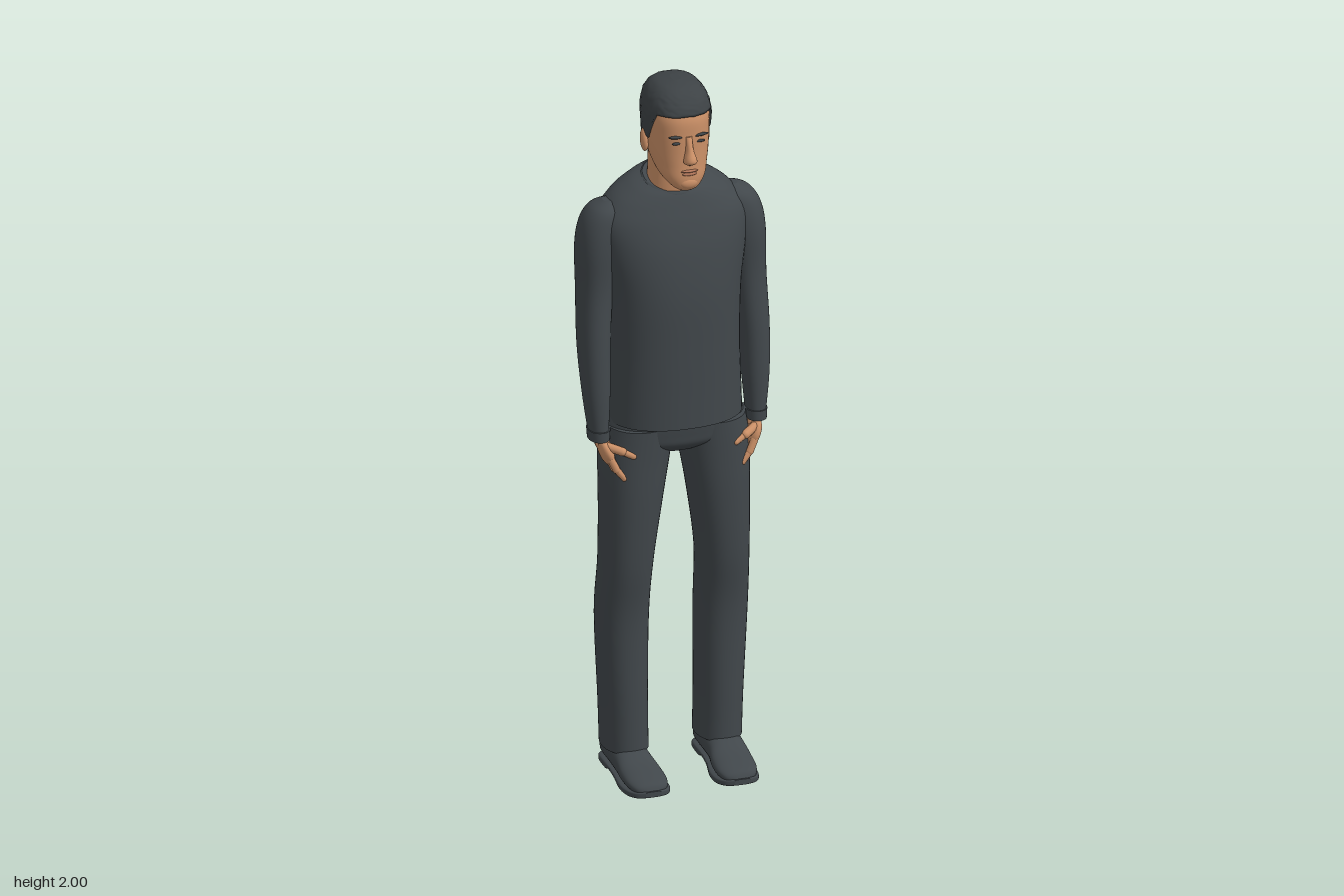
import * as THREE from 'three';

const mat = (name, color) => {
  const m = new THREE.MeshStandardMaterial({ color });
  m.name = name;
  return m;
};

// Catmull-Rom through table rows, t from 0 to rows.length - 1
function sample(rows, t) {
  const last = rows.length - 1;
  const i = Math.min(Math.floor(t), last - 1), f = t - i;
  const row = k => rows[Math.max(0, Math.min(last, k))];
  return rows[0].map((_, c) => {
    const [a, b, d, e] = [row(i - 1)[c], row(i)[c], row(i + 1)[c], row(i + 2)[c]];
    return b + 0.5 * f * (d - a + f * (2 * a - 5 * b + 4 * d - e + f * (3 * (b - d) + e - a)));
  });
}

// point on a superellipse ring; row = [y, centre x, half width, front z, back z, tilt]
function ringPoint([y, cx, hw, zf, zb, tilt = 0], angle, power) {
  const bend = v => Math.sign(v) * Math.pow(Math.abs(v), 2 / power);
  const z = (zf + zb) / 2 + bend(Math.cos(angle)) * (zf - zb) / 2;
  return [cx + bend(Math.sin(angle)) * hw, y - tilt * z, z];
}

// joins rings of points into a smooth skin, with flat caps
function skin(rings) {
  const pos = [], index = [], n = rings[0].length;
  rings.forEach(r => r.forEach(p => pos.push(...p)));
  for (let i = 0; i < rings.length - 1; i++) {
    for (let j = 0; j < n; j++) {
      const a = i * n + j, b = i * n + (j + 1) % n;
      index.push(a, b, a + n, b, b + n, a + n);
    }
  }
  [rings[0], rings[rings.length - 1]].forEach((ring, top) => {
    const base = pos.length / 3;
    ring.forEach(p => pos.push(...p));
    pos.push(...[0, 1, 2].map(c => ring.reduce((s, p) => s + p[c], 0) / n));
    for (let j = 0; j < n; j++) {
      const a = base + j, b = base + (j + 1) % n;
      index.push(...(top ? [a, b, base + n] : [b, a, base + n]));
    }
  });
  const g = new THREE.BufferGeometry();
  g.setAttribute('position', new THREE.Float32BufferAttribute(pos, 3));
  g.setIndex(index);
  g.computeVertexNormals();
  return g;
}

function loft(rows, power = 2.2, sides = 40, sub = 6) {
  const rings = [];
  for (let k = 0; k <= (rows.length - 1) * sub; k++) {
    const row = sample(rows, k / sub);
    rings.push(Array.from({ length: sides }, (_, j) => ringPoint(row, j / sides * Math.PI * 2, power)));
  }
  return skin(rings);
}

// loft running along z; row = [z, centre x, half width, bottom y, top y]
const loftZ = (rows, power) =>
  loft(rows.map(([z, cx, hw, lo, hi]) => [z, cx, hw, -lo, -hi]), power).rotateX(Math.PI / 2);

const headRows = [
  [1.712, 0, 0.02, 0.1, 0.06], [1.724, 0, 0.038, 0.114, 0.03], [1.75, 0, 0.06, 0.117, -0.02],
  [1.785, 0, 0.072, 0.114, -0.072], [1.82, 0, 0.079, 0.112, -0.094], [1.87, 0, 0.083, 0.111, -0.104],
  [1.915, 0, 0.083, 0.108, -0.104], [1.95, 0, 0.073, 0.09, -0.094], [1.973, 0, 0.05, 0.06, -0.065],
  [1.982, 0, 0.012, 0.02, -0.02],
];

// cropped hair: a thicker shell over the skull with a hairline that varies round the head
function hairGeometry() {
  let seed = 7;
  const rnd = () => (seed = (seed * 16807) % 2147483647) / 2147483647;
  const sides = 56, steps = 22, rings = [];
  // first skull row parameter for each angle: high at the brow, low at the nape
  const start = a => {
    const d = Math.abs(a > Math.PI ? a - Math.PI * 2 : a);
    if (d < 1.0) return 6.1;
    if (d < 1.45) return 6.1 - (d - 1.0) / 0.45 * 1.6;
    if (d < 1.8) return 4.5;
    return 4.5 - Math.min(1, (d - 1.8) / 0.5) * 1.75;
  };
  for (let k = -1; k <= steps; k++) {
    rings.push(Array.from({ length: sides }, (_, j) => {
      const a = j / sides * Math.PI * 2, s = start(a);
      const [x, y, z] = ringPoint(sample(headRows, s + (9 - s) * Math.max(0, k) / steps), a, 2.4);
      const grow = k < 0 ? 0.93 : 1.055 + (k < steps ? (rnd() - 0.5) * 0.03 : 0);
      return [x * grow, 1.85 + (y - 1.85) * (y > 1.85 ? 1.125 : 1), z * (z > 0 && k >= 0 ? grow - 0.02 : grow)];
    }));
  }
  return skin(rings);
}

export function createModel() {
  const model = new THREE.Group();
  model.name = 'standingMan';
  const cloth = mat('charcoal cloth', 0x41474b);
  const dark = mat('dark hair', 0x3d4245);
  const flesh = mat('skin', 0xcb9067);
  const lips = mat('lips', 0xb1765a);

  const add = (name, geometry, material, parent = model) => {
    const m = new THREE.Mesh(geometry, material);
    m.name = name;
    parent.add(m);
    return m;
  };
  const blob = (name, p, r, material, parent) => {
    const m = add(name, new THREE.SphereGeometry(1, 20, 14), material, parent);
    m.position.set(...p);
    m.scale.set(...r);
    return m;
  };
  const capsule = (name, a, b, r, material, parent) => {
    const from = new THREE.Vector3(...a), to = new THREE.Vector3(...b), dir = to.clone().sub(from);
    const m = add(name, new THREE.CapsuleGeometry(r, dir.length(), 5, 10), material, parent);
    m.position.copy(from).add(to).multiplyScalar(0.5);
    m.quaternion.setFromUnitVectors(new THREE.Vector3(0, 1, 0), dir.normalize());
  };

  // sweater body with sloping shoulders and a tilted neckline
  add('sweaterBody', loft([
    [1.03, 0, 0.184, 0.128, -0.178, -0.03], [1.12, 0, 0.18, 0.127, -0.168, 0], [1.25, 0, 0.176, 0.126, -0.162, 0],
    [1.4, 0, 0.182, 0.122, -0.171, 0], [1.52, 0, 0.2, 0.104, -0.17, 0], [1.6, 0, 0.203, 0.08, -0.158, 0.05],
    [1.65, 0, 0.168, 0.06, -0.14, 0.15], [1.682, 0, 0.118, 0.045, -0.118, 0.25], [1.695, 0, 0.082, 0.036, -0.103, 0.33],
  ], 2.3, 56), cloth);
  add('collar', loft([
    [1.672, 0, 0.09, 0.044, -0.108, 0.33], [1.69, 0, 0.086, 0.042, -0.106, 0.33], [1.698, 0, 0.078, 0.034, -0.098, 0.33],
  ], 2.1), cloth);

  // trousers seat
  add('trouserSeat', loft([
    [0.935, 0, 0.1, 0.04, -0.08], [0.965, 0, 0.17, 0.082, -0.115], [1.0, 0, 0.194, 0.092, -0.132], [1.06, 0, 0.178, 0.1, -0.145],
  ]), cloth);

  // head, neck and face
  const head = new THREE.Group();
  head.name = 'head';
  model.add(head);
  add('neck', loft([[1.63, 0, 0.075, 0.03, -0.095], [1.7, 0, 0.067, 0.038, -0.088], [1.79, 0, 0.064, 0.04, -0.088]]), flesh, head);
  add('face', loft(headRows, 2.3), flesh, head);
  add('hair', hairGeometry(), dark, head);
  add('nose', loft([
    [1.794, 0, 0.01, 0.125, 0.1], [1.803, 0, 0.018, 0.141, 0.1], [1.815, 0, 0.016, 0.143, 0.1],
    [1.838, 0, 0.01, 0.13, 0.1], [1.872, 0, 0.009, 0.115, 0.1],
  ], 2, 20), flesh, head);
  blob('upperLip', [0, 1.774, 0.115], [0.024, 0.004, 0.006], lips, head);
  blob('lowerLip', [0, 1.766, 0.115], [0.02, 0.005, 0.006], lips, head);
  blob('chin', [0, 1.738, 0.106], [0.026, 0.018, 0.014], flesh, head);

  for (const s of [1, -1]) {
    const side = s > 0 ? 'left' : 'right';
    blob(side + 'Ear', [s * 0.085, 1.828, -0.005], [0.011, 0.032, 0.018], flesh, head).rotation.x = -0.15;
    blob(side + 'Eye', [s * 0.033, 1.854, 0.106], [0.013, 0.004, 0.004], dark, head);
    blob(side + 'Brow', [s * 0.035, 1.872, 0.106], [0.021, 0.004, 0.006], dark, head).rotation.z = s * 0.08;

    // sleeve and cuff
    add(side + 'Sleeve', loft([
      [1.0, 0.219, 0.025, 0.048, -0.024], [1.12, 0.222, 0.036, 0.048, -0.046], [1.25, 0.222, 0.042, 0.04, -0.078],
      [1.4, 0.214, 0.047, 0.026, -0.102], [1.52, 0.205, 0.056, 0.028, -0.115], [1.59, 0.192, 0.058, 0.022, -0.112],
      [1.632, 0.178, 0.047, 0.008, -0.098], [1.652, 0.168, 0.02, -0.025, -0.065],
    ].map(([y, x, ...r]) => [y, s * x, ...r])), cloth);
    add(side + 'Cuff', loft([[0.992, s * 0.219, 0.028, 0.052, -0.028], [1.02, s * 0.219, 0.03, 0.052, -0.03]]), cloth);

    // hand with four fingers and a thumb
    const hand = new THREE.Group();
    hand.name = side + 'Hand';
    model.add(hand);
    capsule('wrist', [s * 0.219, 1.01, 0.014], [s * 0.212, 0.98, 0.022], 0.02, flesh, hand);
    blob('palm', [s * 0.205, 0.958, 0.031], [0.018, 0.042, 0.04], flesh, hand).rotation.z = -0.35 * s;
    for (let f = 0; f < 4; f++) {
      const z = 0.062 - f * 0.021, drop = [0.006, 0, 0.002, 0.014][f];
      const knuckle = [s * 0.186, 0.912 + drop / 2, z + 0.002];
      capsule('finger', [s * 0.2, 0.945, z - 0.002], knuckle, 0.0105, flesh, hand);
      capsule('fingerTip', knuckle, [s * 0.165, 0.883 + drop, z + 0.004], 0.009, flesh, hand);
    }
    capsule('thumbBase', [s * 0.203, 0.978, 0.05], [s * 0.172, 0.968, 0.07], 0.012, flesh, hand);
    capsule('thumbTip', [s * 0.172, 0.968, 0.07], [s * 0.143, 0.954, 0.077], 0.009, flesh, hand);

    // trouser leg
    add(side + 'TrouserLeg', loft([
      [0.075, 0.13, 0.062, 0.042, -0.124], [0.2, 0.133, 0.063, 0.042, -0.124], [0.45, 0.138, 0.07, 0.045, -0.12],
      [0.62, 0.134, 0.071, 0.07, -0.102], [0.8, 0.122, 0.083, 0.083, -0.106], [0.93, 0.111, 0.094, 0.086, -0.118],
      [1.02, 0.1, 0.094, 0.088, -0.13],
    ].map(([y, x, ...r]) => [y, s * x, ...r])), cloth);

    // shoe upper and sole
    add(side + 'Shoe', loftZ([
      [-0.12, 0.13, 0.028, 0.015, 0.06], [-0.108, 0.13, 0.044, 0.012, 0.085], [-0.03, 0.13, 0.049, 0.012, 0.095],
      [0.035, 0.13, 0.051, 0.012, 0.086], [0.085, 0.127, 0.056, 0.012, 0.066], [0.135, 0.125, 0.055, 0.012, 0.053],
      [0.168, 0.124, 0.042, 0.012, 0.042], [0.18, 0.124, 0.018, 0.014, 0.028],
    ].map(([z, x, ...r]) => [z, s * x, ...r]), 2.4), cloth);
    add(side + 'Sole', loftZ([
      [-0.125, 0.13, 0.03, 0.002, 0.022], [-0.11, 0.13, 0.047, 0, 0.022], [-0.05, 0.13, 0.05, 0, 0.022],
      [-0.03, 0.13, 0.05, 0.009, 0.022], [0.03, 0.129, 0.054, 0.008, 0.022], [0.09, 0.126, 0.062, 0, 0.02],
      [0.14, 0.124, 0.06, 0.002, 0.022], [0.172, 0.124, 0.046, 0.006, 0.025], [0.185, 0.124, 0.022, 0.01, 0.026],
    ].map(([z, x, ...r]) => [z, s * x, ...r]), 5), cloth);
  }
  return model;
}
